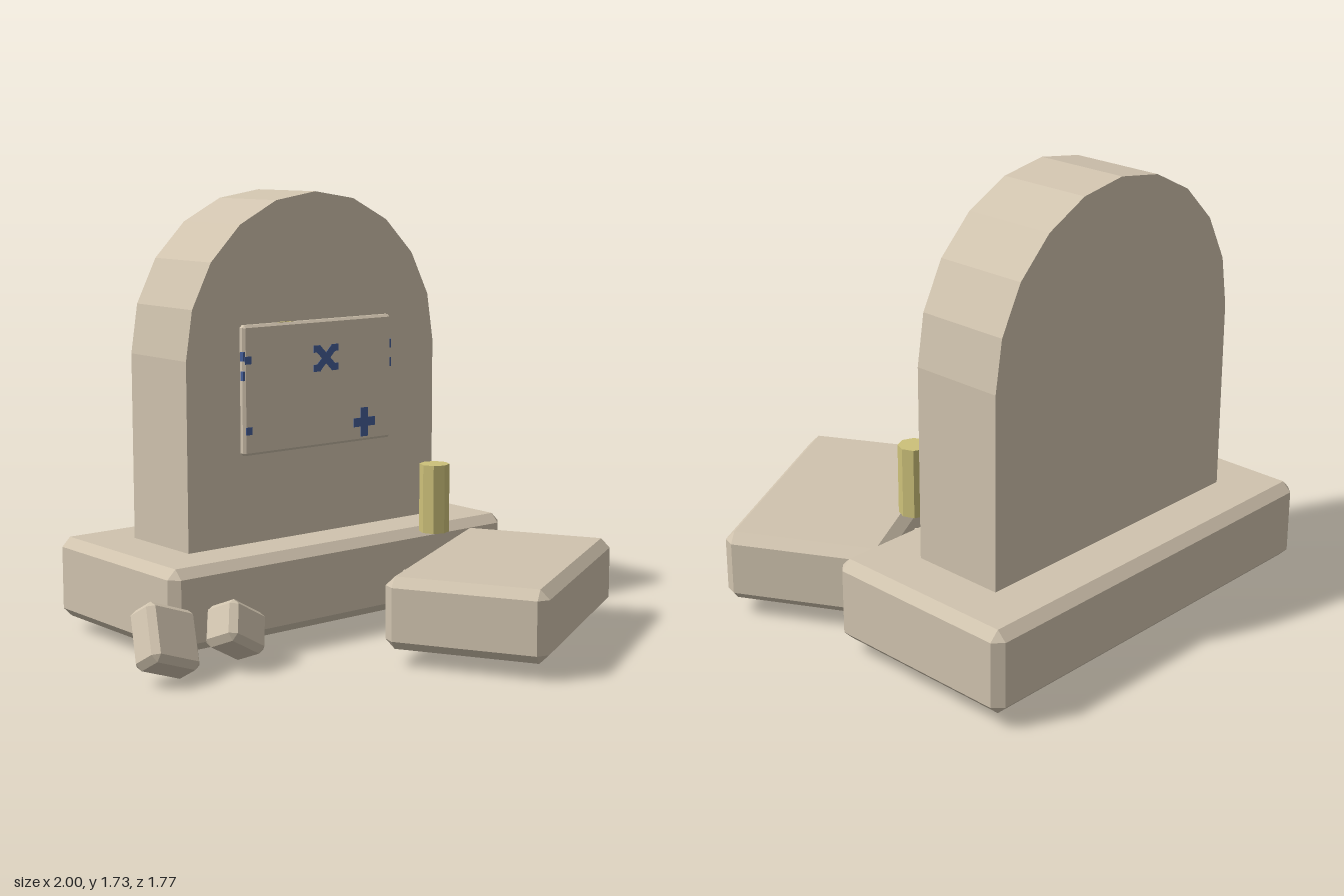
import * as THREE from 'three';
import { ConvexGeometry } from 'three/addons/geometries/ConvexGeometry.js';

const stone = new THREE.MeshStandardMaterial({ color: 0xd0c3ae });
stone.name = 'stone';
const wax = new THREE.MeshStandardMaterial({ color: 0xcdc17a });
wax.name = 'wax';
const blue = new THREE.MeshStandardMaterial({ color: 0x435c96 });
blue.name = 'blue';

// Box with every edge cut at 45 degrees
function chamferBox(w, h, d, c) {
  const pts = [];
  for (const sx of [-1, 1]) for (const sy of [-1, 1]) for (const sz of [-1, 1]) {
    for (let axis = 0; axis < 3; axis++) {
      const half = [w, h, d].map((s, i) => s / 2 - (i === axis ? 0 : c));
      pts.push(new THREE.Vector3(sx * half[0], sy * half[1], sz * half[2]));
    }
  }
  return new ConvexGeometry(pts);
}

export function createModel() {
  const model = new THREE.Group();
  model.name = 'gravestone';

  function add(name, geometry, material, pos, rot = [0, 0, 0]) {
    const mesh = new THREE.Mesh(geometry, material);
    mesh.name = name;
    mesh.position.set(...pos);
    mesh.rotation.set(...rot, 'ZYX');
    model.add(mesh);
    return mesh;
  }

  // Plinth
  add('base', chamferBox(1.68, 0.32, 0.805, 0.036), stone, [0.055, 0.22, -0.483]);

  // Upright stone with a ten-sided round top
  const r = 0.622, spring = 1.113;
  const outline = new THREE.Shape();
  outline.moveTo(-r, 0.37);
  outline.lineTo(r, 0.37);
  for (let i = 0; i <= 10; i++) {
    const a = (i / 10) * Math.PI;
    outline.lineTo(r * Math.cos(a), spring + r * Math.sin(a));
  }
  add('headstone', new THREE.ExtrudeGeometry(outline, { depth: 0.37, bevelEnabled: false }),
    stone, [0.057, 0, -0.666]);

  // Plaque on the front
  add('plaque', chamferBox(0.745, 0.505, 0.05, 0.01), stone, [0.057, 0.982, -0.296]);

  // Painted marks on the plaque face
  const face = -0.2705;
  const mark = (name, x, y, w, h, turn = 0) =>
    add(name, new THREE.BoxGeometry(w, h, 0.003), blue, [x, y, face], [0, 0, turn]);
  for (const s of [-1, 1]) {
    mark('crossBar', 0.088, 1.082, 0.12, 0.03, s * Math.PI / 4);
    for (const t of [-1, 1]) mark('crossEnd', 0.088 + s * 0.045, 1.082 + t * 0.038, 0.034, 0.028);
  }
  mark('plusBar', 0.286, 0.807, 0.112, 0.036);
  mark('plusPost', 0.286, 0.807, 0.036, 0.118);
  mark('leftUpperDot', -0.295, 1.1, 0.03, 0.03);
  mark('leftLowerDot', -0.293, 0.826, 0.028, 0.03);

  // Marks that run over the plaque's side edges
  for (const y of [1.115, 1.04]) {
    for (const x of [-0.313, 0.427]) {
      add('edgeMark', new THREE.BoxGeometry(0.009, 0.036, 0.018), blue, [x, y, -0.282]);
    }
  }
  add('topEdgeMark', new THREE.BoxGeometry(0.07, 0.004, 0.012), wax, [-0.1, 1.234, -0.288]);

  // Candle
  const candle = new THREE.CylinderGeometry(0.06, 0.06, 0.275, 8).toNonIndexed();
  candle.computeVertexNormals();
  add('candle', candle, wax, [0.43, 0.517, -0.006]);

  // Fallen slab in front
  add('slab', chamferBox(0.99, 0.275, 0.625, 0.036), stone, [0.429, 0.207, 0.388], [0, 0.506, 0]);

  // Loose rubble: size, position, rotation
  const rubble = [
    [[0.225, 0.235, 0.135], [-0.86, 0.152, -0.025], [-0.6, 0.03, -0.35]],
    [[0.2, 0.165, 0.15], [-0.567, 0.147, 0.005], [-0.5, 0.1, -0.52]],
    [[0.2, 0.18, 0.17], [0.395, 0.145, 0.01], [-0.45, 0.2, -0.3]],
    [[0.16, 0.17, 0.15], [0.665, 0.125, 0.36], [-0.45, 0.15, -0.5]],
  ];
  for (const [size, pos, rot] of rubble) {
    add('rubble', chamferBox(...size, 0.024), stone, pos, rot);
  }

  return model;
}
